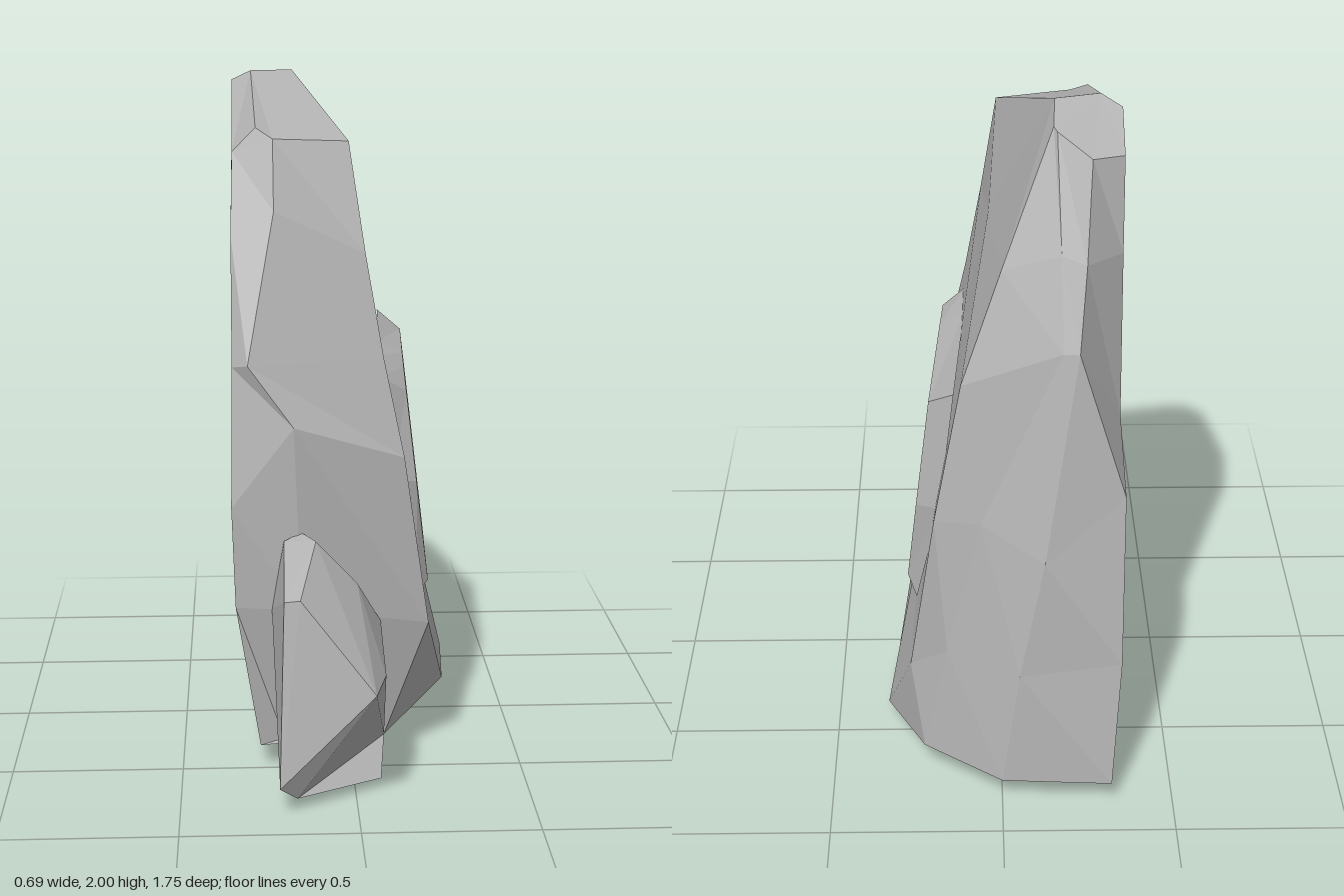
import * as THREE from 'three';
import { ConvexGeometry } from 'three/addons/geometries/ConvexGeometry.js';

const V = (p) => new THREE.Vector3(...p);

// Builds a faceted mesh from a list of triangles (each three [x, y, z] points)
function facetMesh(name, tris, material) {
  const geometry = new THREE.BufferGeometry().setFromPoints(tris.flat().map(V));
  geometry.computeVertexNormals();
  const mesh = new THREE.Mesh(geometry, material);
  mesh.name = name;
  return mesh;
}

// Builds a convex rock around a handful of corner points
function rockMesh(name, points, material) {
  const mesh = new THREE.Mesh(new ConvexGeometry(points.map(V)), material);
  mesh.name = name;
  return mesh;
}

// Two triangles between an upper edge a-b and a lower edge d-c
const quad = (a, b, c, d) => [[a, b, d], [b, c, d]];

export function createModel() {
  const stone = new THREE.MeshStandardMaterial({ color: 0xb2b2b2, flatShading: true });
  stone.name = 'grey stone';
  const hollow = new THREE.MeshStandardMaterial({ color: 0x030303, flatShading: true, side: THREE.DoubleSide });
  hollow.name = 'black backing';

  const model = new THREE.Group();
  model.name = 'standingStone';

  // Cross-sections of the boulder from top to bottom, each running
  // left-back, back, back corner, side-back, side, front corner, front, left-front
  const rings = [
    [[-.34, 1.88, -.48], [-.25, 1.88, -.51], [-.155, 1.94, -.455], [-.145, 1.95, -.44],
      [-.15, 2, -.35], [.005, 1.82, .17], [-.22, 1.83, .21], [-.34, 1.79, .17]],
    [[-.34, 1.6, -.5], [-.235, 1.61, -.61], [-.165, 1.63, -.59], [.0, 1.57, -.55],
      [.03, 1.57, -.1], [.05, 1.5, .27], [-.22, 1.63, .32], [-.345, 1.56, .32]],
    [[-.34, 1.12, -.55], [-.215, 1.38, -.695], [-.17, 1.38, -.69], [.115, 1.25, -.62],
      [.11, 1.2, -.1], [.1, 1.2, .35], [-.3, 1.21, .5], [-.345, 1.2, .46]],
    [[-.35, .95, -.73], [-.12, .78, -.81], [.06, .85, -.7], [.195, .83, -.65],
      [.168, .85, -.1], [.157, .92, .42], [-.17, 1.04, .555], [-.35, .8, .53]],
    [[-.345, .45, -.82], [-.05, .42, -.835], [.16, .42, -.7], [.27, .32, -.61],
      [.248, .45, -.1], [.23, .42, .43], [-.15, .5, .55], [-.34, .5, .52]],
    [[-.32, .07, -.875], [0, .07, -.855], [.23, .08, -.69], [.345, .065, -.44],
      [.33, .03, -.2], [.1, .065, .41], [-.2, .08, .47], [-.27, .07, .5]],
  ];
  const shell = [];
  const backing = [];
  for (let r = 0; r < rings.length - 1; r++) {
    const up = rings[r], low = rings[r + 1];
    for (let i = 0; i < 8; i++) {
      const j = (i + 1) % 8;
      (i === 7 ? backing : shell).push(...quad(up[i], up[j], low[j], low[i]));
    }
  }

  // Peak facets, with a small chamfer towards the left rim
  const top = rings[0];
  const peak = [-.28, 2, -.31], rimPeak = [-.34, 1.97, -.34], chamfer = [-.27, 1.86, .17];
  const crown = [...top.slice(0, 7), chamfer, top[7], rimPeak];
  crown.forEach((p, i) => shell.push([peak, crown[(i + 1) % crown.length], p]));
  shell.push([top[6], chamfer, top[7]]);
  backing.push([rimPeak, top[0], top[7]]);

  // Underside: stone lip at the front, dark behind it
  const [b0, b1, b2, b3, b4, b5, b6, b7] = rings[rings.length - 1];
  const lip = [.226, .046, .075];
  shell.push([b7, b5, b6], [b7, lip, b5]);
  const under = [b0, b1, b2, b3, b4, lip, b7];
  under.forEach((p, i) => backing.push([[0, .08, -.3], p, under[(i + 1) % under.length]]));

  model.add(facetMesh('boulder', shell, stone), facetMesh('backing', backing, hollow));

  // Raised panel on the left side, fading into the stone at its foot: outlines in [z, y]
  const outer = [[-.565, 1.195], [0, 1.19], [.21, 1.185], [.29, 1.135], [.36, .84], [.3, .47],
    [.1, .445], [.03, .495], [-.35, .425], [-.565, .525], [-.61, .85]];
  const inner = [[-.5, 1.14], [0, 1.155], [.16, 1.14], [.235, 1.08], [.31, .82], [.255, .5],
    [.1, .475], [.03, .53], [-.34, .48], [-.51, .57], [-.55, .83]];
  const onSlope = ([z, y], sink) => [.207 + .118 * (1.15 - y) - .055 * (z + .5) - sink, y, z];
  const buried = (p) => onSlope(p, p[1] < .53 ? .035 : .07);
  const panel = [];
  const n = inner.length;
  for (let i = 0; i < n; i++) {
    const j = (i + 1) % n;
    const c = onSlope(inner[j], 0), d = onSlope(inner[i], 0);
    panel.push(...quad(buried(outer[i]), buried(outer[j]), c, d), [onSlope([-.12, .82], 0), d, c]);
  }
  model.add(facetMesh('raisedPanel', panel, stone));

  // Small rock leaning on the front, with a wedge under it
  model.add(rockMesh('smallRock', [
    [-.15, .73, .54], [-.2, .71, .56], [-.11, .725, .62], [-.205, .6, .8], [-.16, .61, .82],
    [.01, .59, .59], [.085, .44, .47], [.085, .36, .73], [.05, .35, .875], [-.21, .25, .85],
    [-.22, .08, .875], [-.17, .035, .83], [.1, .065, .41], [-.235, .5, .53], [-.21, .07, .48],
  ], stone));
  model.add(rockMesh('rockFoot', [
    [-.17, .035, .83], [.08, 0, .6], [.1, .065, .41], [-.21, .07, .48],
  ], stone));

  return model;
}
